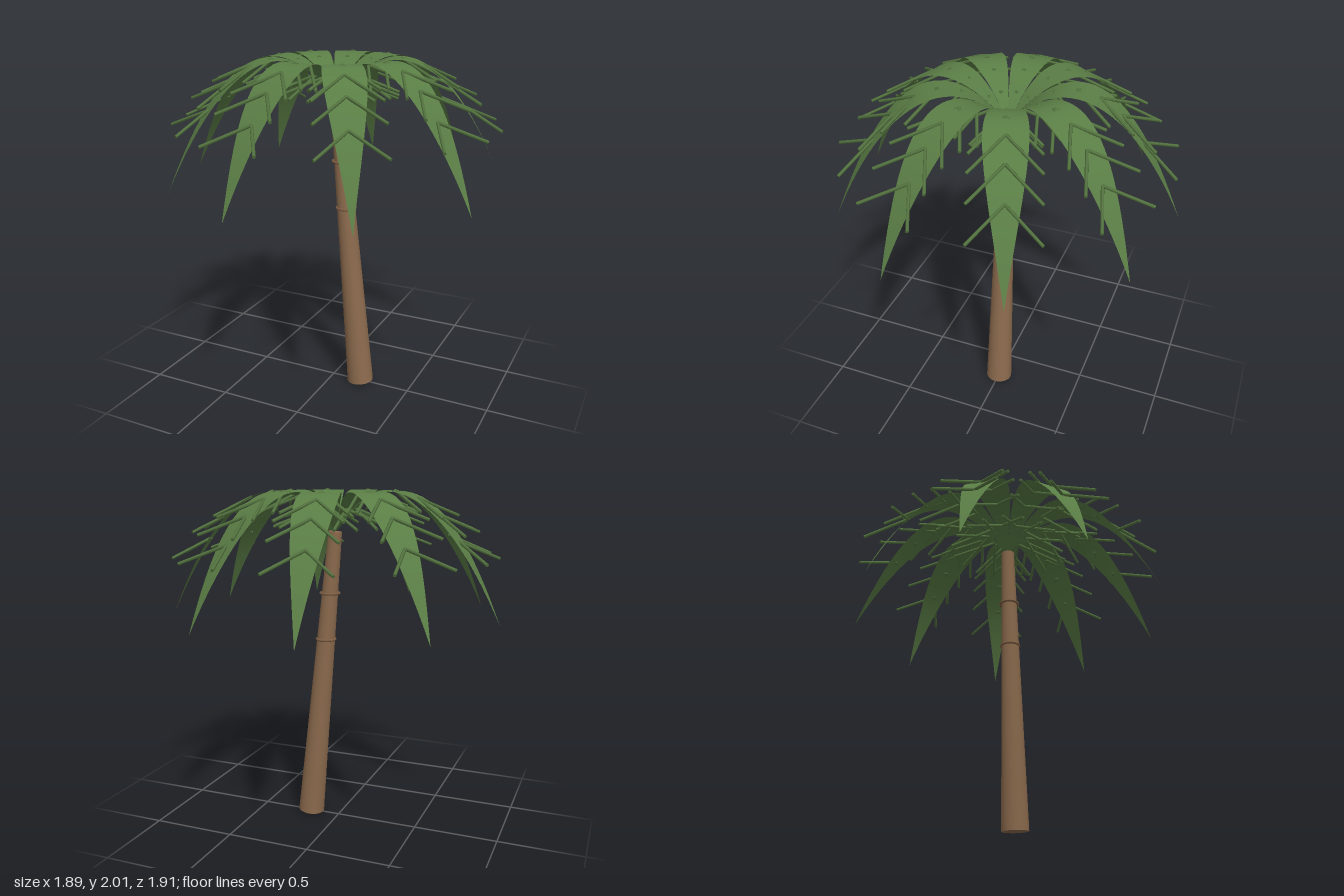
import * as THREE from 'three';

const FRONDS = 9;
const CENTRE_X = 0.015;
const REACH = 0.968;

const barkMat = new THREE.MeshStandardMaterial({ color: 0x8b6a4d });
const ringMat = new THREE.MeshStandardMaterial({ color: 0x7d5d43 });
const leafMat = new THREE.MeshStandardMaterial({ color: 0x5a7d45, side: THREE.DoubleSide });
const barbMat = new THREE.MeshStandardMaterial({ color: 0x53733f });

// Cylinder stretched between two points
function rod(a, b, r0, r1, sides, material, name) {
  const dir = b.clone().sub(a);
  const mesh = new THREE.Mesh(new THREE.CylinderGeometry(r1, r0, dir.length(), sides), material);
  mesh.position.copy(a).add(b).multiplyScalar(0.5);
  mesh.quaternion.setFromUnitVectors(new THREE.Vector3(0, 1, 0), dir.normalize());
  mesh.name = name;
  return mesh;
}

// Arching midrib in the x-y plane, from the crown out to the drooping tip
const midrib = new THREE.QuadraticBezierCurve3(
  new THREE.Vector3(0, 1.77, 0),
  new THREE.Vector3(REACH / 2, 2.407, 0),
  new THREE.Vector3(REACH, 1.28, 0)
);

// Flat strip bent along the midrib, tapering to both ends
function leafGeometry() {
  const geo = new THREE.PlaneGeometry(1, 2, 28, 2);
  geo.rotateX(-Math.PI / 2);
  const pos = geo.attributes.position;
  for (let i = 0; i < pos.count; i++) {
    const t = pos.getX(i) + 0.5;
    const p = midrib.getPoint(t);
    pos.setXYZ(i, p.x, p.y, pos.getZ(i) * 0.112 * Math.sin(Math.PI * t));
  }
  geo.computeVertexNormals();
  return geo;
}

function createFrond(leafGeo) {
  const frond = new THREE.Group();
  frond.name = 'frond';
  const leaf = new THREE.Mesh(leafGeo, leafMat);
  leaf.name = 'leaf';
  frond.add(leaf);
  // Pairs of thin barbs forming outward V shapes
  for (let k = 1; k <= 6; k++) {
    const start = midrib.getPoint(k / 8);
    for (const side of [-1, 1]) {
      const end = start.clone().add(new THREE.Vector3(0.19, -0.1, 0.18 * side));
      frond.add(rod(start, end, 0.009, 0.009, 6, barbMat, 'barb'));
    }
  }
  return frond;
}

export function createModel() {
  const model = new THREE.Group();
  model.name = 'palmTree';

  // Leaning, tapered trunk
  const base = new THREE.Vector3(0.185, 0.008, 0);
  const top = new THREE.Vector3(0.02, 1.77, 0);
  model.add(rod(base, top, 0.08, 0.04, 24, barkMat, 'trunk'));

  // Horizontal rings around the trunk
  for (const y of [1.13, 1.41]) {
    const ring = new THREE.Mesh(new THREE.TorusGeometry(0.055, 0.008, 8, 24), ringMat);
    ring.rotation.x = Math.PI / 2;
    ring.position.copy(base).lerp(top, (y - base.y) / (top.y - base.y));
    ring.name = 'trunkRing';
    model.add(ring);
  }

  // Crown of evenly spread fronds
  const crown = new THREE.Group();
  crown.name = 'crown';
  crown.position.x = CENTRE_X;
  const leafGeo = leafGeometry();
  for (let i = 0; i < FRONDS; i++) {
    const frond = createFrond(leafGeo);
    frond.rotation.y = Math.PI + (i * 2 * Math.PI) / FRONDS;
    crown.add(frond);
  }
  model.add(crown);
  return model;
}
